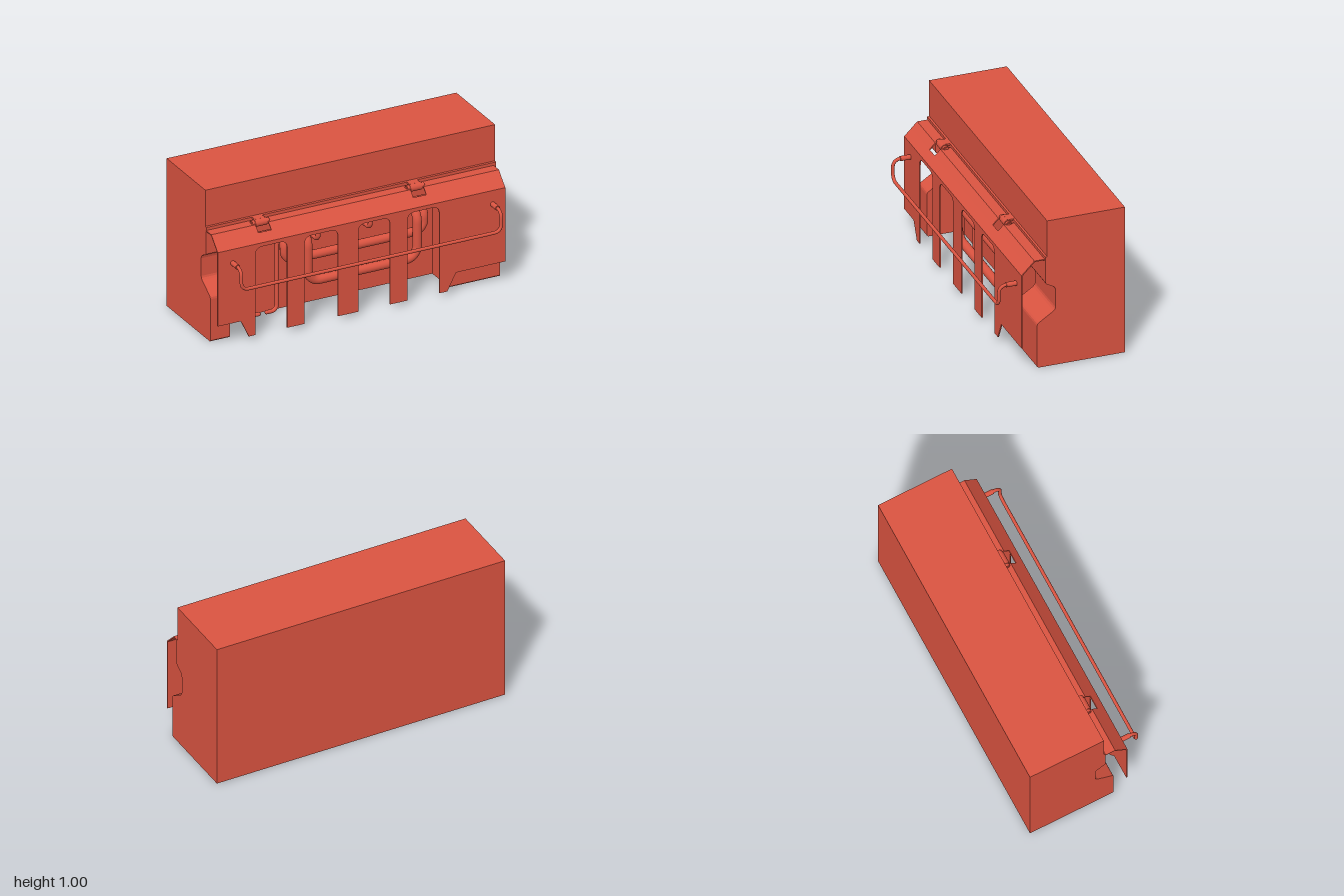
import * as THREE from 'three';

const red = new THREE.MeshStandardMaterial({ color: 0xdb5441, side: THREE.DoubleSide });

export function createModel() {
  const model = new THREE.Group();

  const add = (name, geometry, parent = model) => {
    const mesh = new THREE.Mesh(geometry, red);
    mesh.name = name;
    parent.add(mesh);
    return mesh;
  };
  const toShape = pts => new THREE.Shape(pts.map(p => new THREE.Vector2(...p)));

  // Prism with a (z, y) side profile running from x0 to x1
  const prism = (name, pts, x0, x1, parent) => {
    const g = new THREE.ExtrudeGeometry(toShape(pts), { depth: x1 - x0, bevelEnabled: false });
    g.rotateY(-Math.PI / 2).translate(x1, 0, 0);
    return add(name, g, parent);
  };

  // Round bar through points, with bends of radius r at the inner ones
  const pipe = (name, pts, radius, r) => {
    const p = pts.map(a => new THREE.Vector3(...a));
    const path = new THREE.CurvePath();
    let from = p[0];
    for (let i = 1; i < p.length - 1; i++) {
      const a = p[i].clone().add(p[i - 1].clone().sub(p[i]).setLength(r));
      const b = p[i].clone().add(p[i + 1].clone().sub(p[i]).setLength(r));
      const k = 0.45;
      path.add(new THREE.LineCurve3(from, a));
      path.add(new THREE.CubicBezierCurve3(a, a.clone().lerp(p[i], 1 - k), b.clone().lerp(p[i], 1 - k), b));
      from = b;
    }
    path.add(new THREE.LineCurve3(from, p[p.length - 1]));
    const group = new THREE.Group();
    group.name = name;
    model.add(group);
    add(name + 'Bar', new THREE.TubeGeometry(path, 140, radius, 14), group);
    for (const e of [p[0], p[p.length - 1]]) {
      add(name + 'End', new THREE.SphereGeometry(radius, 14, 8).translate(e.x, e.y, e.z), group);
    }
  };

  // Body: full side blocks either side of a deep recessed middle
  const upper = [[-0.4, 0], [-0.4, 1], [0.11, 1], [0.11, 0.755], [0.12, 0.75]];
  const side = [...upper, [0.12, 0.575], [0.115, 0.565], [0.068, 0.54], [0.058, 0.53], [0.054, 0.515],
    [0.054, 0.395], [0.058, 0.383], [0.068, 0.372], [0.165, 0.308], [0.173, 0.3], [0.176, 0.288],
    [0.176, 0.008], [0.168, 0]];
  const middle = [...upper, [0.12, 0.64], [-0.05, 0.64], [-0.05, 0]];
  prism('rightBlock', side, -1, -0.865);
  prism('recessedBody', middle, -0.865, 0.65);
  prism('leftBlock', side, 0.65, 1);
  prism('hingeLip', [[0.1, 0.752], [0.122, 0.752], [0.122, 0.735], [0.1, 0.735]], -1, 1);

  // Front flap: toothed plate with round-topped slots open at the bottom
  const flap = new THREE.Group();
  flap.name = 'flap';
  model.add(flap);
  const s = new THREE.Shape();
  s.moveTo(-1, 0.645);
  s.lineTo(-1, 0.145);
  s.lineTo(-0.84, 0.145);
  s.lineTo(-0.785, 0.03);
  for (const [a, b] of [[-0.74, -0.52], [-0.4, -0.17], [-0.03, 0.19], [0.31, 0.53]]) {
    s.lineTo(a, 0.03);
    s.lineTo(a, 0.57);
    s.quadraticCurveTo(a, 0.62, a + 0.05, 0.62);
    s.lineTo(b - 0.05, 0.62);
    s.quadraticCurveTo(b, 0.62, b, 0.57);
    s.lineTo(b, 0.03);
  }
  s.lineTo(0.585, 0.03);
  s.lineTo(0.645, 0.145);
  s.lineTo(0.985, 0.145);
  s.lineTo(0.985, 0.645);
  add('flapPlate', new THREE.ExtrudeGeometry(s, { depth: 0.008, bevelEnabled: false }).translate(0, 0, 0.265), flap);

  // Sloped top of the flap, cut away at each hinge
  const hinges = [-0.65, 0.42];
  prism('flapSlope', [[0.265, 0.642], [0.273, 0.645], [0.225, 0.693], [0.221, 0.687]], -1, 0.985, flap);
  const edges = [-1, ...hinges.flatMap(x => [x - 0.045, x + 0.045]), 0.985];
  for (let i = 0; i < edges.length; i += 2) {
    prism('flapTop', [[0.221, 0.687], [0.225, 0.693], [0.188, 0.731], [0.12, 0.731], [0.12, 0.724], [0.184, 0.724]],
      edges[i], edges[i + 1], flap);
  }

  // Hinges: barrel, pin and leaf
  for (const x of hinges) {
    const hinge = new THREE.Group();
    hinge.name = 'hinge';
    model.add(hinge);
    for (const [r, w] of [[0.025, 0.08], [0.014, 0.125]]) {
      add('hingeBarrel', new THREE.CylinderGeometry(r, r, w, 20).rotateZ(Math.PI / 2).translate(x, 0.728, 0.158), hinge);
    }
    add('hingeLeaf', new THREE.BoxGeometry(0.07, 0.012, 0.05).translate(x, 0.747, 0.135), hinge);
    for (const d of [-0.048, 0.048]) {
      add('hingeKnuckle', new THREE.CylinderGeometry(0.02, 0.02, 0.02, 20).rotateZ(Math.PI / 2).translate(x + d, 0.728, 0.158), hinge);
    }
  }

  // Handle bar and its sleeves
  const hx = 0.897;
  pipe('handle', [[-hx, 0.553, 0.3], [-hx, 0.553, 0.387], [-hx, 0.417, 0.387],
    [hx, 0.417, 0.387], [hx, 0.553, 0.387], [hx, 0.553, 0.3]], 0.011, 0.045);
  for (const x of [-hx, hx]) {
    add('handleSleeve', new THREE.CylinderGeometry(0.016, 0.016, 0.08, 18).rotateX(Math.PI / 2).translate(x, 0.553, 0.3));
  }

  // Bent pipes inside the recess
  const loop = (name, x0, x1, top, bottom, z, r, bend) => pipe(name,
    [[x0, top, -0.05], [x0, top, z], [x0, bottom, z], [x1, bottom, z], [x1, top, z], [x1, top, -0.05]], r, bend);
  loop('frontPipeLoop', -0.33, 0.425, 0.578, 0.26, 0.18, 0.029, 0.08);
  loop('rearPipeLoop', -0.46, 0.5, 0.56, 0.405, 0.12, 0.029, 0.07);
  loop('innerRod', -0.18, 0.18, 0.45, 0.57, 0.03, 0.015, 0.035);

  // Slim upright rods
  for (const [x, end] of [[-0.67, -0.585], [-0.46, -0.53]]) {
    pipe('uprightRod', [[end, 0.593, 0.02], [x, 0.593, 0.02], [x, 0.03, 0.02], [end, 0.03, 0.02]], 0.013, 0.04);
  }
  return model;
}
